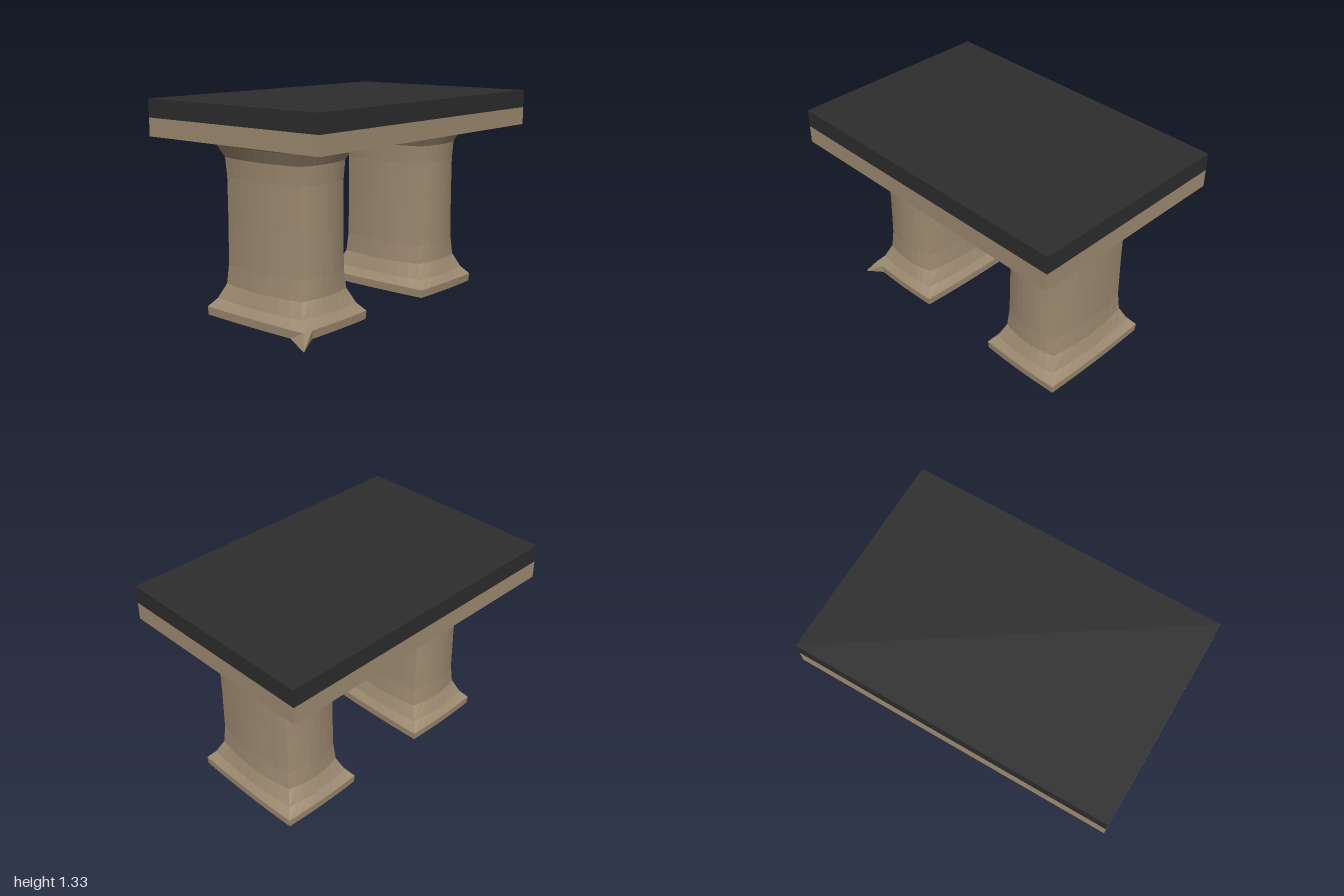
import * as THREE from 'three';

const SEG = 8; // facets per side of a leg

// Leg rings from the foot to the table underside: [y, corner x, corner z, bulge of sides]
const RINGS = [
  [0.003, 0.09, 0.17, 0.004],
  [0.012, 0.19, 0.31, 0.012],
  [0.037, 0.272, 0.388, 0.008],
  [0.088, 0.275, 0.392, 0.008],
  [0.14, 0.232, 0.347, 0.02],
  [0.23, 0.195, 0.303, 0.032],
  [0.35, 0.184, 0.294, 0.036],
  [0.62, 0.182, 0.292, 0.037],
  [0.88, 0.183, 0.293, 0.037],
  [0.995, 0.19, 0.3, 0.037],
  [1.07, 0.225, 0.335, 0.04],
  [1.098, 0.3, 0.41, 0.035],
  [1.112, 0.42, 0.535, 0.02],
];

// Four bowed sides meeting at sharp corners, counterclockwise from above
function ringPoints([y, cx, cz, bulge]) {
  const corners = [[1, 1], [1, -1], [-1, -1], [-1, 1]];
  const pts = [];
  corners.forEach(([sx, sz], k) => {
    const [ex, ez] = corners[(k + 1) % 4];
    for (let s = 0; s < SEG; s++) {
      const t = s / SEG;
      const out = bulge * (1 - (2 * t - 1) ** 2);
      pts.push([
        THREE.MathUtils.lerp(sx, ex, t) * cx + ((sx + ex) / 2) * out,
        y,
        THREE.MathUtils.lerp(sz, ez, t) * cz + ((sz + ez) / 2) * out,
      ]);
    }
  });
  return pts;
}

function legGeometry(withSpur) {
  const rings = RINGS.map(ringPoints);
  const n = SEG * 4;
  // One foot corner is drawn out into a small pointed spur
  if (withSpur) rings[2][3 * SEG] = [-0.33, 0.005, 0.445];

  const positions = rings.flat(2);
  const index = [];
  for (let r = 0; r < rings.length - 1; r++) {
    for (let i = 0; i < n; i++) {
      const a = r * n + i;
      const b = r * n + ((i + 1) % n);
      index.push(a, b, b + n, a, b + n, a + n);
    }
  }
  // Sole
  const centre = positions.length / 3;
  positions.push(0, 0, 0);
  for (let i = 0; i < n; i++) index.push(centre, (i + 1) % n, i);

  const geo = new THREE.BufferGeometry();
  geo.setAttribute('position', new THREE.Float32BufferAttribute(positions, 3));
  geo.setIndex(index);
  geo.computeVertexNormals();
  return geo;
}

export function createModel() {
  const tan = new THREE.MeshStandardMaterial({ color: 0xa08d73, flatShading: true });
  tan.name = 'tan';
  const charcoal = new THREE.MeshStandardMaterial({ color: 0x2d2d2d, flatShading: true });
  charcoal.name = 'charcoal';

  const model = new THREE.Group();
  model.name = 'table';
  const add = (name, geo, mat, x, y) => {
    const mesh = new THREE.Mesh(geo, mat);
    mesh.name = name;
    mesh.position.set(x, y, 0);
    model.add(mesh);
  };

  // Two stacked slabs
  const slab = new THREE.BoxGeometry(2, 0.111, 1.333);
  add('tableTop', slab, charcoal, 0, 1.2775);
  add('tableFrame', slab, tan, 0, 1.1665);

  // Pedestal legs
  add('leftLeg', legGeometry(false), tan, 0.555, 0);
  add('rightLeg', legGeometry(true), tan, -0.555, 0);
  return model;
}
